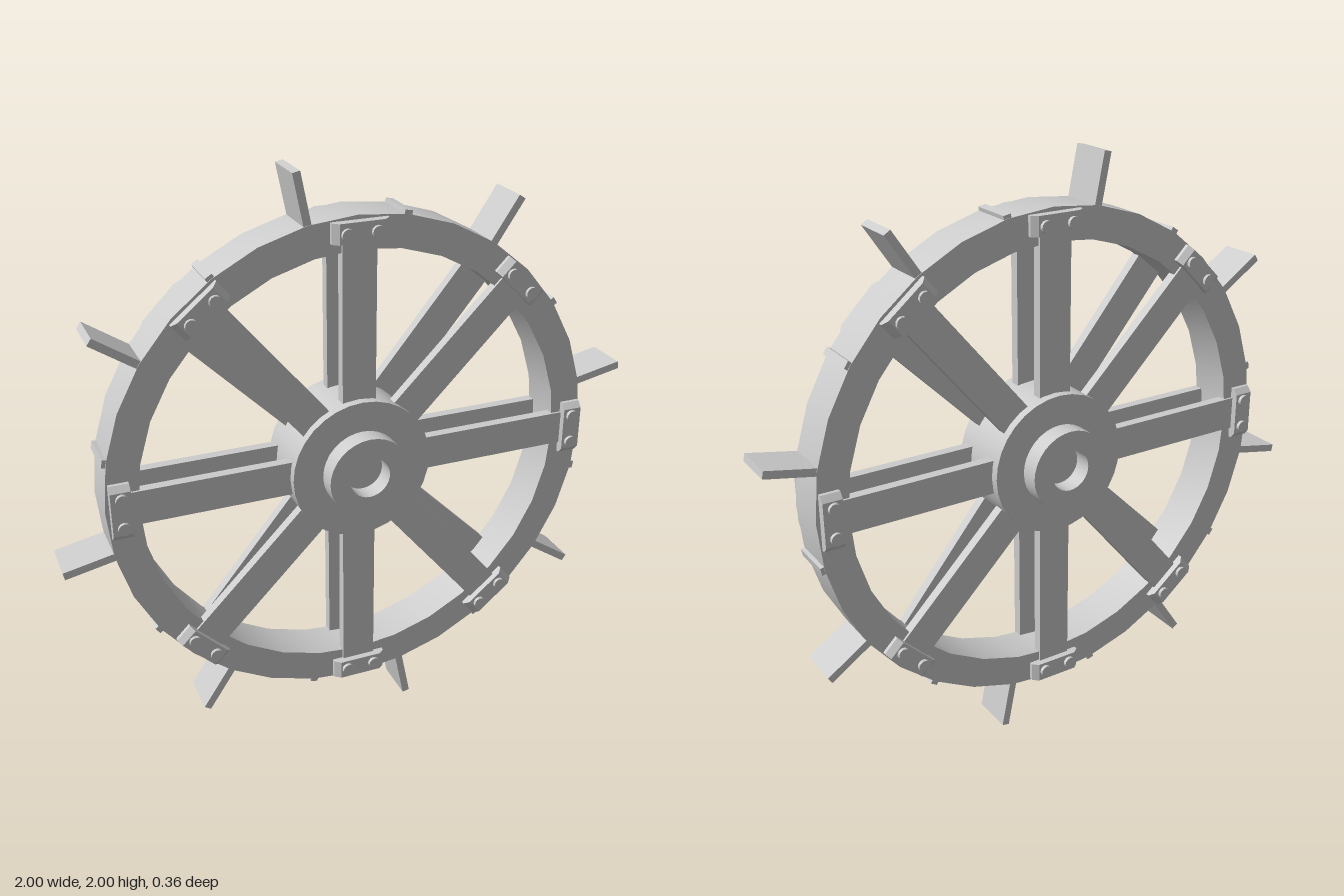
import * as THREE from 'three';
import { toCreasedNormals } from 'three/addons/utils/BufferGeometryUtils.js';

const material = new THREE.MeshStandardMaterial({ color: 0xcccccc });
const rad = THREE.MathUtils.degToRad;

function add(parent, name, geometry, x = 0, y = 0, z = 0) {
  const mesh = new THREE.Mesh(geometry, material);
  mesh.name = name;
  mesh.position.set(x, y, z);
  parent.add(mesh);
  return mesh;
}

// Solid of revolution about the wheel axle (z); points are [radius, axial]
function turned(points, segments) {
  const g = new THREE.LatheGeometry(points.map(([r, a]) => new THREE.Vector2(r, a)), segments);
  g.rotateX(Math.PI / 2);
  return toCreasedNormals(g, rad(35));
}

// Clamp plate with sloped ends
function plateGeometry() {
  const s = new THREE.Shape([[-0.095, 0], [0.095, 0], [0.095, 0.02], [0.075, 0.037], [-0.075, 0.037], [-0.095, 0.02]]
    .map(([x, y]) => new THREE.Vector2(x, y)));
  const g = new THREE.ExtrudeGeometry(s, { depth: 0.066, bevelEnabled: false });
  g.translate(0, 0, -0.033);
  g.rotateX(Math.PI / 2);
  return g;
}

export function createModel() {
  const model = new THREE.Group();
  model.name = 'paddleWheel';
  const wheel = new THREE.Group();
  wheel.name = 'wheel';
  wheel.position.y = 1;
  model.add(wheel);

  // Rim
  add(wheel, 'rim', turned([[0.742, -0.077], [0.85, -0.077], [0.85, 0.077], [0.742, 0.077], [0.742, -0.077]], 32));

  // Hub drum with a recessed boss on each side
  add(wheel, 'hub', turned([
    [0, -0.115], [0.07, -0.115], [0.07, -0.18], [0.14, -0.18], [0.14, -0.115], [0.243, -0.115],
    [0.243, 0.115], [0.14, 0.115], [0.14, 0.18], [0.07, 0.18], [0.07, 0.115], [0, 0.115],
  ], 32));

  // Paddles, alternating long blades and short stubs
  for (let i = 0; i < 16; i++) {
    const arm = new THREE.Group();
    arm.name = 'paddleArm';
    arm.rotation.z = rad(11.25 + i * 22.5);
    wheel.add(arm);
    const long = i % 2 === 0;
    const end = long ? 1.017 : 0.862;
    add(arm, long ? 'paddle' : 'paddleStub', new THREE.BoxGeometry(end - 0.8, 0.026, 0.15), (end + 0.8) / 2);
  }

  // Two sets of spokes, each with clamp plates and bolts
  const spokeGeo = new THREE.BoxGeometry(0.116, 0.64, 0.035);
  const plateGeo = plateGeometry();
  const boltGeo = toCreasedNormals(new THREE.CylinderGeometry(0.021, 0.021, 0.03, 12).rotateX(Math.PI / 2), rad(40));
  for (const turn of [0, Math.PI]) {
    const side = new THREE.Group();
    side.name = turn ? 'backSpokes' : 'frontSpokes';
    side.rotation.y = turn;
    wheel.add(side);
    for (const angle of [0, 45, 90, 129.6, 180, 225, 270, 309.6]) {
      const arm = new THREE.Group();
      arm.name = 'spokeArm';
      arm.rotation.z = rad(angle - 90);
      side.add(arm);
      add(arm, 'spoke', spokeGeo, 0, 0.5, 0.0675);
      add(arm, 'clampPlate', plateGeo, 0, 0.803, 0.07);
      for (const x of [-0.05, 0.05]) add(arm, 'bolt', boltGeo, x, 0.8, 0.104);
    }
  }
  return model;
}
